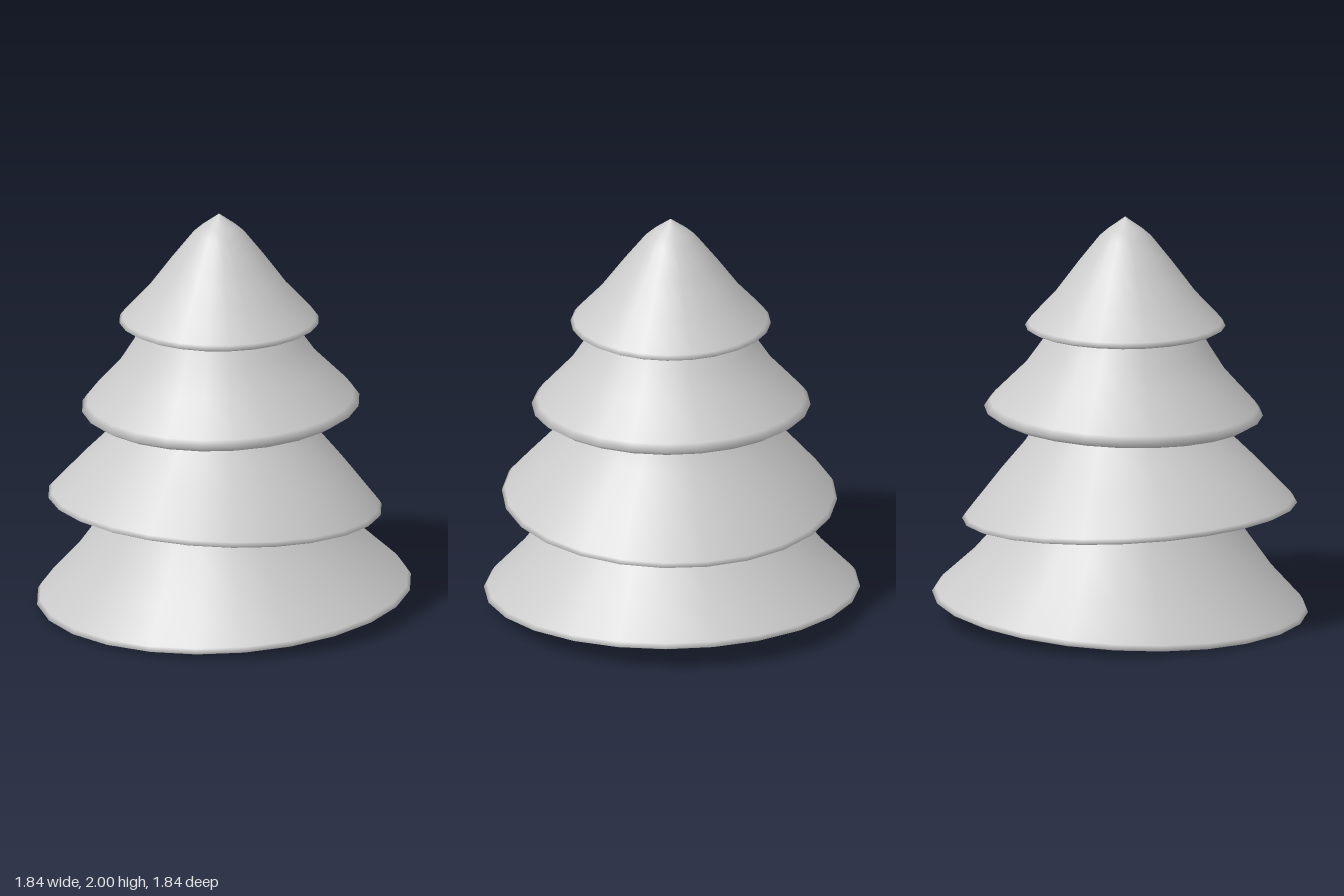
import * as THREE from 'three';

// Each tier: rim centre, rim radius, tilt about z, rim bevel, and the slope as [radius, height] pairs
const TIERS = [
  { name: 'bottomTier', x: 0, y: 0.065, r: 0.92, tilt: 0.06, inset: 0.025, drop: 0.011,
    slope: [[0.905, 0.022], [0.75, 0.18], [0.59, 0.385], [0.51, 0.517], [0.4, 0.7], [0, 0.75]] },
  { name: 'lowerMiddleTier', x: -0.055, y: 0.53, r: 0.82, tilt: -0.061, inset: 0.025, drop: 0.01,
    slope: [[0.805, 0.02], [0.64, 0.21], [0.5, 0.36], [0.42, 0.47], [0.32, 0.64], [0, 0.7]] },
  { name: 'upperMiddleTier', x: -0.02, y: 1.025, r: 0.682, tilt: 0.037, inset: 0.045, drop: 0.028,
    slope: [[0.655, 0.035], [0.5, 0.2], [0.42, 0.32], [0.362, 0.42], [0.26, 0.6], [0, 0.66]] },
  { name: 'topTier', x: -0.03, y: 1.455, r: 0.49, tilt: 0, inset: 0.025, drop: 0.013,
    slope: [[0.475, 0.02], [0.35, 0.155], [0.235, 0.31], [0.13, 0.443], [0.085, 0.483], [0, 0.545]] },
];

function makeTier({ name, x, y, r, tilt, inset, drop, slope }, material) {
  // Flat underside, small bevelled rim, then the sweeping upper slope
  const profile = [[0, -drop], [r - inset - 0.02, -drop], [r - inset, -drop], [r, 0], ...slope];
  const geometry = new THREE.LatheGeometry(profile.map(([px, py]) => new THREE.Vector2(px, py)), 24);
  const tier = new THREE.Mesh(geometry, material);
  tier.name = name;
  tier.position.set(x, y, 0);
  tier.rotation.z = tilt;
  return tier;
}

export function createModel() {
  const tree = new THREE.Group();
  tree.name = 'layeredTree';
  const material = new THREE.MeshStandardMaterial({ color: 0xcccccc });
  for (const spec of TIERS) tree.add(makeTier(spec, material));
  return tree;
}
